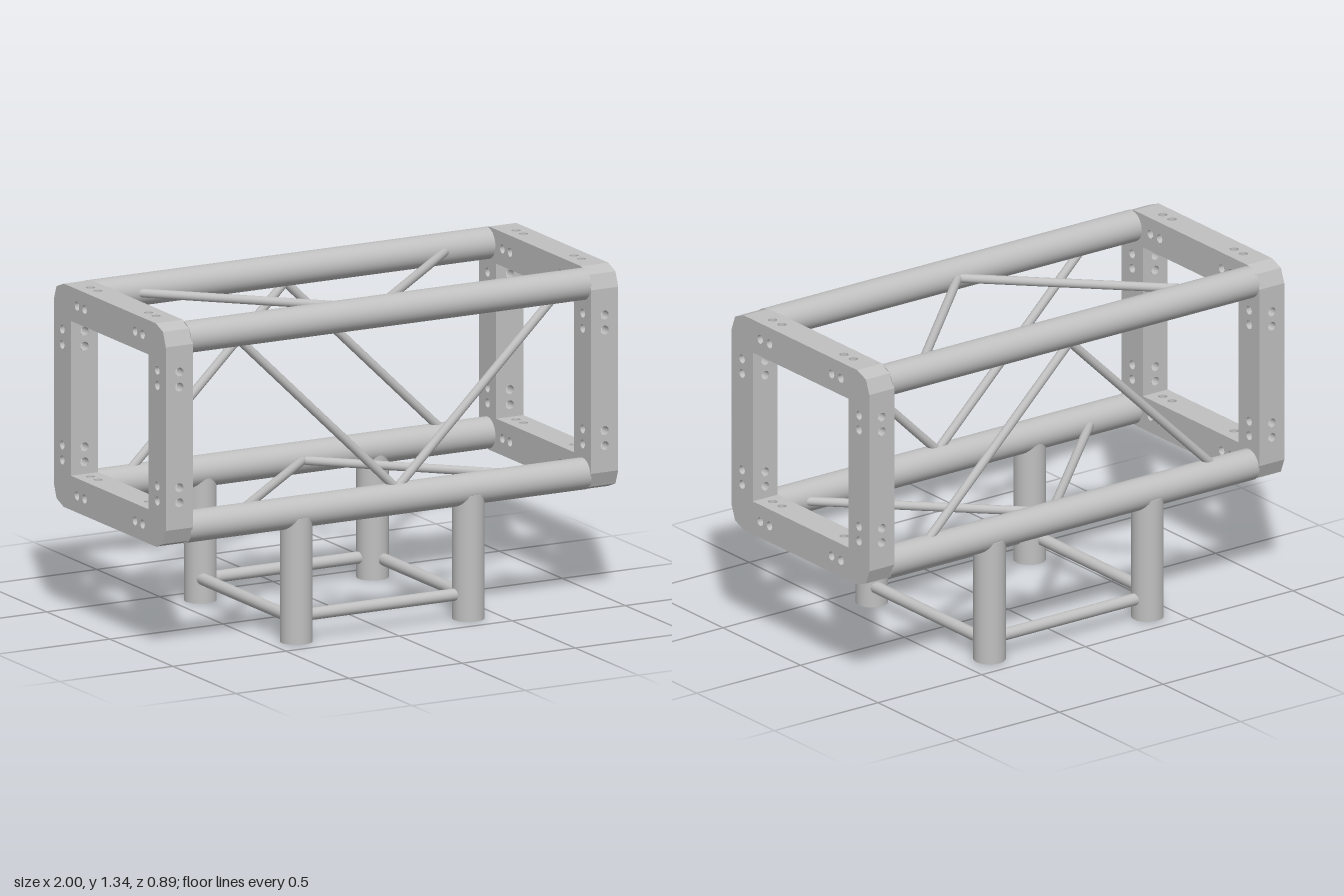
import * as THREE from 'three';
import { mergeGeometries } from 'three/addons/utils/BufferGeometryUtils.js';

const MID_Y = 0.891;      // height of the truss axis
const OFF = 0.377;        // chord distance from the axis
const HALF = 0.444;       // outer half size of the end frames
const OPEN = 0.308;       // half size of the frame opening
const HOLE = 0.018;
const HOLES = [-0.26, -0.2, 0.2, 0.26];
const V = (x, y, z) => new THREE.Vector3(x, y, z);

function circle(x, y) {
  return new THREE.Path().absarc(x, y, HOLE, 0, Math.PI * 2, true);
}

// Box-section end frame, drilled through in every direction
function frameGeometry() {
  const parts = [];
  const w = 0.06;
  const outer = [], inner = [];
  for (let i = 0; i < 4; i++) {
    const c = new THREE.Vector2();
    const a = i * Math.PI / 2;
    for (const [u, v] of [[HALF, 0.365], [0.422, 0.422], [0.365, HALF]]) {
      outer.push(new THREE.Vector2(u, v).rotateAround(c, a));
    }
    inner.push(new THREE.Vector2(OPEN, OPEN).rotateAround(c, a));
  }

  // end faces
  for (const s of [1, -1]) {
    const face = new THREE.Shape(outer);
    face.holes.push(new THREE.Path(inner));
    for (const h of HOLES) for (const o of [OFF, -OFF]) face.holes.push(circle(h, o), circle(o, h));
    const m = new THREE.Matrix4().makeBasis(V(0, 0, -s), V(0, 1, 0), V(s, 0, 0)).setPosition(s * w, 0, 0);
    parts.push(new THREE.ShapeGeometry(face, 8).applyMatrix4(m));
  }

  // outer and inner walls
  for (const [loop, s] of [[outer, 1], [inner, -1]]) {
    loop.forEach((p, i) => {
      const q = loop[(i + 1) % loop.length];
      const dir = V(0, q.y - p.y, q.x - p.x);
      const l = dir.length() / 2;
      dir.normalize();
      const normal = V(0, -dir.z, dir.y).multiplyScalar(s);
      const wall = new THREE.Shape([[-l, -w], [l, -w], [l, w], [-l, w]].map(a => new THREE.Vector2(...a)));
      if (l > 0.25) for (const h of HOLES) wall.holes.push(circle(h, 0));
      const m = new THREE.Matrix4().makeBasis(dir, normal.clone().cross(dir), normal)
        .setPosition(0, (p.y + q.y) / 2, (p.x + q.x) / 2);
      parts.push(new THREE.ShapeGeometry(wall, 8).applyMatrix4(m));
    });
  }

  // bolt hole linings, left open where two holes cross
  for (let i = 0; i < 4; i++) {
    for (const h of HOLES) for (const s of [1, -1]) {
      const along = new THREE.CylinderGeometry(HOLE, HOLE, 0.042, 12, 1, true)
        .rotateZ(Math.PI / 2).translate(s * 0.039, OFF, h);
      const across = new THREE.CylinderGeometry(HOLE, HOLE, 0.05, 12, 1, true)
        .translate(0, OFF - 0.001 + s * 0.043, h);
      for (const g of [along, across]) parts.push(g.rotateX(i * Math.PI / 2));
    }
  }
  return mergeGeometries(parts);
}

export function createModel() {
  const model = new THREE.Group();
  const metal = new THREE.MeshStandardMaterial({ color: 0xc0c0c0, side: THREE.DoubleSide });
  metal.name = 'brushed aluminium';

  function add(name, geometry) {
    const mesh = new THREE.Mesh(geometry, metal);
    mesh.name = name;
    model.add(mesh);
    return mesh;
  }

  // round bar between two points, lengthened at both ends
  function bar(name, a, b, r, extra = 0, sides = 24) {
    const d = b.clone().sub(a);
    const mesh = add(name, new THREE.CylinderGeometry(r, r, d.length() + extra * 2, sides));
    mesh.position.copy(a).add(b).multiplyScalar(0.5);
    mesh.quaternion.setFromUnitVectors(V(0, 1, 0), d.normalize());
  }

  // end frames
  const frame = frameGeometry();
  for (const s of [1, -1]) {
    add(s > 0 ? 'leftEndFrame' : 'rightEndFrame', frame).position.set(s * 0.94, MID_Y, 0);
  }

  // four main chords
  for (const y of [OFF, -OFF]) for (const z of [OFF, -OFF]) {
    bar('chord', V(-0.885, MID_Y + y, z), V(0.885, MID_Y + y, z), 0.0625, 0, 40);
  }

  // diagonal braces: x at the start and end of each bar, and the side it starts on
  const braces = {
    front: [[-0.615, 0.035, 1], [0.08, 0.727, -1]],
    back: [[-0.68, -0.03, -1], [0, 0.65, 1]],
    top: [[-0.67, -0.02, -1], [0.01, 0.65, 1]],
    bottom: [[-0.625, 0.02, 1], [0.055, 0.71, -1]],
  };
  for (const [side, list] of Object.entries(braces)) {
    const point = (x, s) => ({
      front: V(x, MID_Y + s * 0.315, OFF),
      back: V(x, MID_Y + s * 0.315, -OFF),
      top: V(x, MID_Y + OFF, s * 0.315),
      bottom: V(x, MID_Y - OFF, s * 0.315),
    })[side];
    for (const [x0, x1, s] of list) bar(side + 'Brace', point(x0, s), point(x1, -s), 0.0175, 0.04, 16);
  }

  // legs, joined to the lower chords
  const [legR, legL] = [-0.388, 0.373];
  for (const x of [legR, legL]) for (const z of [0.38, -0.38]) {
    bar('leg', V(x, 0, z), V(x, 0.5, z), 0.063, 0, 40);
  }

  // rungs between the legs
  bar('frontRung', V(legR, 0.101, 0.38), V(legL, 0.101, 0.38), 0.024);
  bar('backRung', V(legR, 0.084, -0.38), V(legL, 0.084, -0.38), 0.024);
  bar('rightRung', V(-0.406, 0.096, -0.38), V(-0.406, 0.096, 0.38), 0.024);
  bar('leftRung', V(0.39, 0.08, -0.38), V(0.39, 0.08, 0.38), 0.024);

  return model;
}
